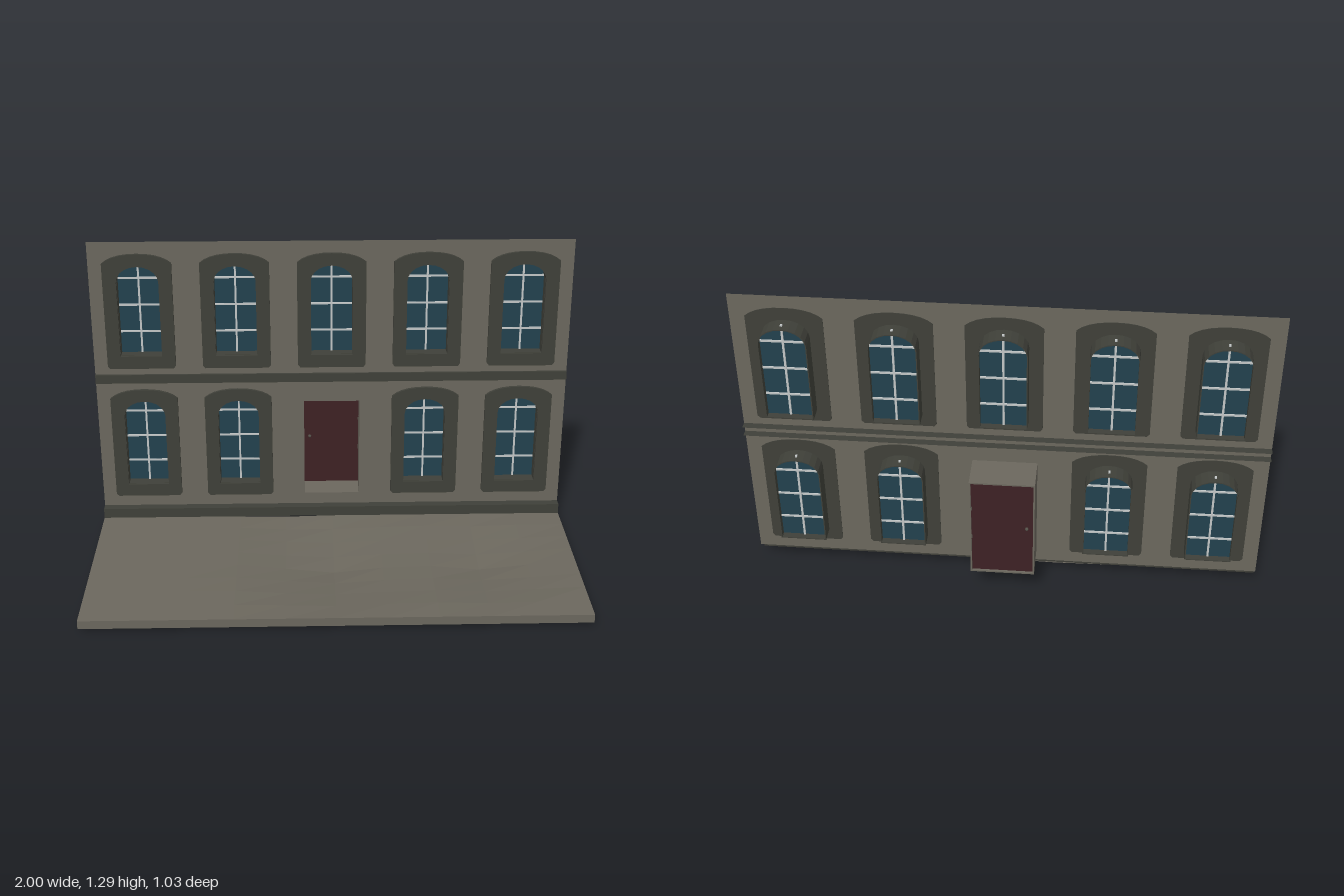
import * as THREE from 'three';

const mat = (name, color, side = THREE.FrontSide) => {
  const m = new THREE.MeshStandardMaterial({ color, side, flatShading: true });
  m.name = name;
  return m;
};

export function createModel() {
  const stone = mat('warm grey stone', 0x6b675d, THREE.DoubleSide);
  const trim = mat('dark trim', 0x3f4039, THREE.DoubleSide);
  const glass = mat('blue glass', 0x22414e, THREE.DoubleSide);
  const red = mat('door red', 0x3d2124);
  const white = mat('pale glazing bars', 0xc2c6c6);
  const metal = mat('door metal', 0x55524a);

  const root = new THREE.Group();
  root.name = 'facade';
  const add = (parent, name, geo, material, x = 0, y = 0, z = 0) => {
    const mesh = new THREE.Mesh(geo, material);
    mesh.name = name;
    mesh.position.set(x, y, z);
    parent.add(mesh);
    return mesh;
  };
  const box = (parent, name, w, h, d, material, x, y, z) =>
    add(parent, name, new THREE.BoxGeometry(w, h, d), material, x, y, z);
  const extrude = (shape, depth) =>
    new THREE.ExtrudeGeometry(shape, { depth, bevelEnabled: false, curveSegments: 5 });

  // Open sheet following a [z, y] profile along the full width
  const strip = (name, profile, material) => {
    const pos = [], idx = [];
    profile.forEach(([z, y], i) => {
      pos.push(-1, y, z, 1, y, z);
      if (i) idx.push(2 * i - 2, 2 * i, 2 * i - 1, 2 * i - 1, 2 * i, 2 * i + 1);
    });
    const g = new THREE.BufferGeometry();
    g.setAttribute('position', new THREE.Float32BufferAttribute(pos, 3));
    g.setIndex(idx);
    g.computeVertexNormals();
    add(root, name, g, material);
  };

  // Window outlines, relative to the window's bottom centre
  const outerArch = (path, s = 0, cx = 0, cy = 0) => {
    const w = 0.143 - s;
    path.moveTo(cx - w + 0.01, cy + s);
    path.lineTo(cx + w - 0.01, cy + s);
    path.lineTo(cx + w, cy + 0.012 + s);
    path.lineTo(cx + w, cy + 0.46 - s);
    path.quadraticCurveTo(cx + w * 0.7, cy + 0.5 - s, cx, cy + 0.5 - s);
    path.quadraticCurveTo(cx - w * 0.7, cy + 0.5 - s, cx - w, cy + 0.46 - s);
    path.lineTo(cx - w, cy + 0.012 + s);
    path.closePath();
    return path;
  };
  const innerArch = (path, s = 0) => {
    const w = 0.09 - s;
    path.moveTo(-w, 0.052 + s);
    path.lineTo(w, 0.052 + s);
    path.lineTo(w, 0.38);
    path.absellipse(0, 0.38, w, 0.07 - s, 0, Math.PI, false, 0);
    path.closePath();
    return path;
  };

  const windows = [];
  for (const y of [0.142, 0.74])
    for (let i = -2; i <= 2; i++) if (y > 0.5 || i !== 0) windows.push([i * 0.4, y]);

  // Wall sheet with openings
  const wallZ = -0.378;
  const wallShape = new THREE.Shape();
  wallShape.moveTo(-1, 0.09).lineTo(1, 0.09).lineTo(1, 1.29).lineTo(-1, 1.29).closePath();
  for (const [x, y] of windows) wallShape.holes.push(outerArch(new THREE.Path(), 0.006, x, y));
  const doorHole = new THREE.Path();
  doorHole.moveTo(-0.125, 0.135).lineTo(0.125, 0.135).lineTo(0.125, 0.585).lineTo(-0.125, 0.585).closePath();
  wallShape.holes.push(doorHole);
  add(root, 'wall', new THREE.ShapeGeometry(wallShape, 5), stone, 0, 0, wallZ);

  // Window parts shared by all windows
  const frameShape = outerArch(new THREE.Shape());
  frameShape.holes.push(innerArch(new THREE.Path(), 0.003));
  const frameGeo = extrude(frameShape, 0.015);
  const revealShape = innerArch(new THREE.Shape());
  revealShape.holes.push(innerArch(new THREE.Path(), 0.004));
  const revealGeo = extrude(revealShape, 0.07);
  const glassGeo = new THREE.ShapeGeometry(innerArch(new THREE.Shape(), 0.002), 5);

  for (const [x, y] of windows) {
    const win = new THREE.Group();
    win.name = 'window';
    win.position.set(x, y, 0);
    add(win, 'windowFrame', frameGeo, trim, 0, 0, -0.38);
    add(win, 'windowReveal', revealGeo, trim, 0, 0, -0.446);
    add(win, 'windowGlass', glassGeo, glass, 0, 0, -0.42);
    box(win, 'verticalBar', 0.008, 0.41, 0.01, white, 0, 0.25, -0.42);
    for (const h of [0.15, 0.267, 0.384])
      box(win, 'crossBar', 0.176, 0.008, 0.009, white, 0, h, -0.42);
    root.add(win);
  }

  // Door with its deep reveal
  const door = new THREE.Group();
  door.name = 'door';
  root.add(door);
  const t = 0.006, depth = 0.137, zMid = wallZ - depth / 2;
  for (const s of [-1, 1]) {
    box(door, 'doorJamb', t, 0.45, depth, stone, s * (0.125 - t / 2), 0.36, zMid);
    box(door, 'doorLintelAndSill', 0.25, t, depth, stone, 0, 0.36 + s * (0.225 - t / 2), zMid);
    add(door, 'doorKnob', new THREE.SphereGeometry(0.007, 8, 6), metal, -0.095, 0.365, -0.5 + s * 0.01);
    box(door, 'doorHinge', 0.004, 0.02, 0.012, metal, 0.118, 0.38 + s * 0.07, -0.5);
  }
  box(door, 'doorPanel', 0.24, 0.44, 0.012, red, 0, 0.36, -0.5);

  // Channel band between storeys and ledge along the foot of the wall
  strip('storeyBand', [[-0.408, 0.71], [-0.368, 0.71], [-0.368, 0.672], [-0.408, 0.672]], trim);
  strip('baseLedge', [[wallZ, 0.09], [-0.34, 0.09], [-0.34, 0.047]], trim);

  // Pavement with worn hollows and a front kerb
  const floor = new THREE.PlaneGeometry(2, 0.85, 10, 8);
  floor.rotateX(-Math.PI / 2);
  floor.translate(0, 0, 0.085);
  const p = floor.attributes.position;
  const hollows = [[0, 0.085, 0.045, 0.42], [0.6, 0.085, 0.038, 0.38], [-0.2, -0.2, 0.014, 0.2]];
  for (let i = 0; i < p.count; i++) {
    let dip = 0;
    for (const [x, z, d, r] of hollows)
      dip = Math.max(dip, d * (1 - Math.hypot(p.getX(i) - x, p.getZ(i) - z) / r));
    p.setY(i, 0.047 - dip);
  }
  floor.computeVertexNormals();
  add(root, 'pavement', floor, stone);
  strip('kerb', [[0.51, 0.047], [0.51, 0.012]], stone);

  return root;
}
